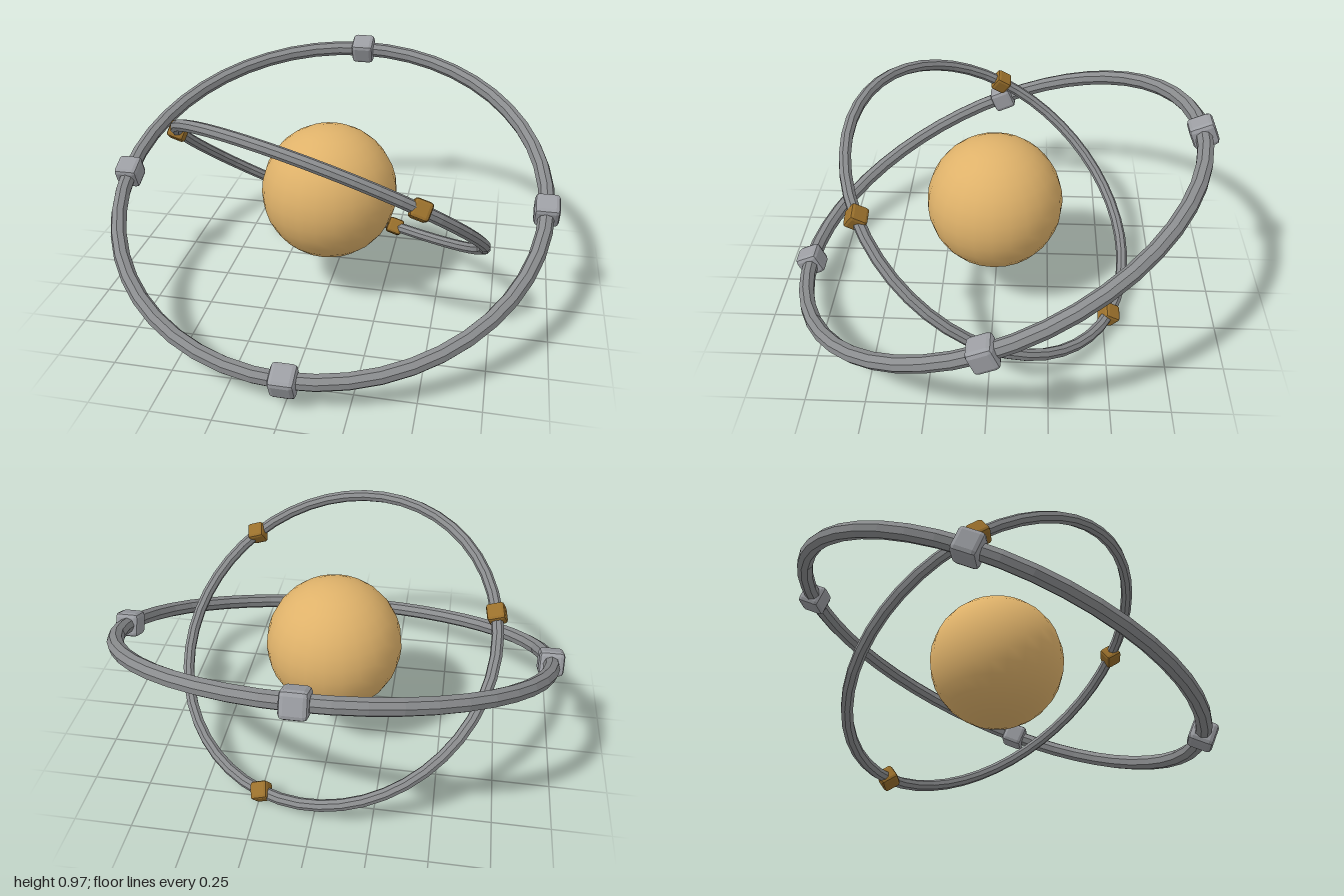
import * as THREE from 'three';
import { RoundedBoxGeometry } from 'three/addons/geometries/RoundedBoxGeometry.js';

const CENTER_Y = 0.51;

function material(name, color) {
  const m = new THREE.MeshStandardMaterial({ color });
  m.name = name;
  return m;
}

// Facet a geometry so every face has its own normal
function faceted(geometry) {
  const g = geometry.index ? geometry.toNonIndexed() : geometry;
  g.computeVertexNormals();
  return g;
}

function part(name, geometry, mat) {
  const mesh = new THREE.Mesh(geometry, mat);
  mesh.name = name;
  return mesh;
}

// Flat-lying ring with evenly spaced chamfered blocks, all aligned to the ring's frame
function orbit({ name, radius, tube, count, start, size, ringMat, blockMat }) {
  const group = new THREE.Group();
  group.name = name;
  const torus = new THREE.TorusGeometry(radius, tube, 8, 48).rotateX(Math.PI / 2);
  group.add(part(name + 'Band', faceted(torus), ringMat));

  const block = faceted(new RoundedBoxGeometry(size, size, size, 1, size * 0.18));
  for (let i = 0; i < count; i++) {
    const a = start + (i / count) * Math.PI * 2;
    const mesh = part(name + 'Block' + (i + 1), block, blockMat);
    mesh.position.set(Math.cos(a) * radius, 0, Math.sin(a) * radius);
    group.add(mesh);
  }
  group.position.y = CENTER_Y;
  return group;
}

export function createModel() {
  const model = new THREE.Group();
  model.name = 'ringedSphere';

  const sand = material('sand', 0xdfb26a);
  const steel = material('steel', 0x8a8c8e);
  const paleSteel = material('pale steel', 0x9c9ea3);
  const brass = material('brass', 0x9a702c);

  // Central sphere
  const core = part('core', new THREE.SphereGeometry(0.3, 24, 16), sand);
  core.position.y = CENTER_Y;
  model.add(core);

  // Large ring, dipping toward the front
  const outer = orbit({
    name: 'outerRing', radius: 0.946, tube: 0.035, count: 4, start: 0,
    size: 0.108, ringMat: steel, blockMat: paleSteel,
  });
  outer.rotation.x = THREE.MathUtils.degToRad(23.5);
  model.add(outer);

  // Small ring, dipping toward the back and the left
  const inner = orbit({
    name: 'innerRing', radius: 0.727, tube: 0.026, count: 3, start: Math.PI,
    size: 0.078, ringMat: steel, blockMat: brass,
  });
  inner.rotation.set(THREE.MathUtils.degToRad(-34), 0, THREE.MathUtils.degToRad(-18), 'ZYX');
  model.add(inner);

  return model;
}
